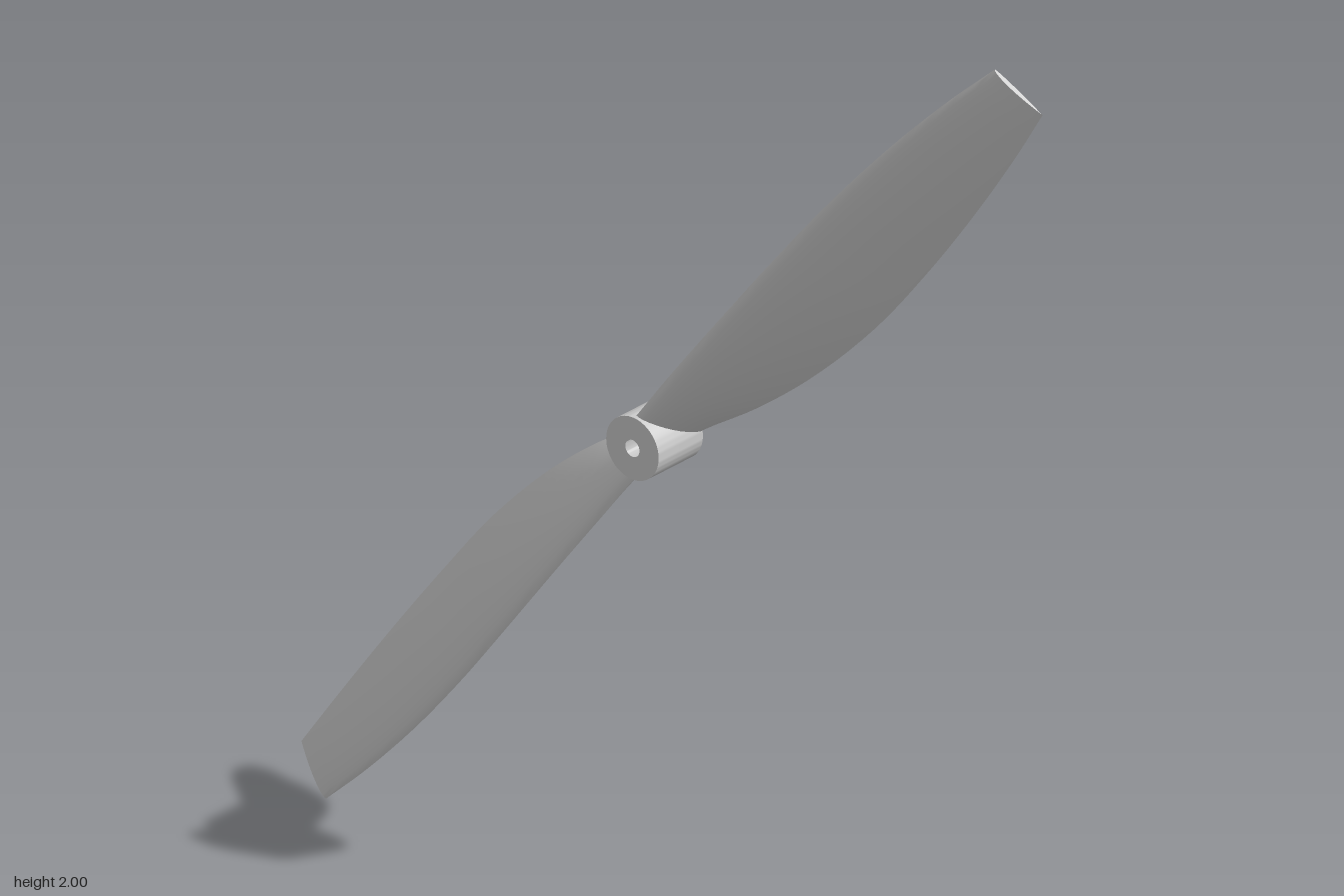
import * as THREE from 'three';
import { toCreasedNormals } from 'three/addons/utils/BufferGeometryUtils.js';

const V = (x, y, z) => new THREE.Vector3(x, y, z);
const STATIONS = 36, HALF = 12;

// Blade runs along local x; each row: radius, lead y, lead z, trail y, trail z, thickness
const rows = [
  [0.03, 0.040, 0.058, -0.035, -0.045, 0.030],
  [0.08, 0.043, 0.062, -0.047, -0.048, 0.028],
  [0.20, 0.052, 0.063, -0.080, -0.056, 0.026],
  [0.36, 0.062, 0.060, -0.108, -0.066, 0.025],
  [0.56, 0.074, 0.051, -0.121, -0.074, 0.024],
  [0.76, 0.083, 0.036, -0.113, -0.076, 0.022],
  [0.96, 0.083, 0.018, -0.097, -0.068, 0.019],
  [1.14, 0.073, 0.003, -0.077, -0.055, 0.015],
  [1.28, 0.058, -0.008, -0.058, -0.040, 0.010],
];

function bladeGeometry() {
  const lead = new THREE.CatmullRomCurve3(rows.map(r => V(r[0], r[1], r[2])));
  const trail = new THREE.CatmullRomCurve3(rows.map(r => V(r[0], r[3], r[4])));
  const thick = new THREE.CatmullRomCurve3(rows.map(r => V(r[0], r[5], 0)));
  const n = HALF * 2;
  const pos = [], idx = [];
  // airfoil loop: rounded leading edge, convex front, nearly flat back
  const section = t => {
    const a = lead.getPoint(t), b = trail.getPoint(t), h = thick.getPoint(t).y;
    const d = b.clone().sub(a);
    const normal = V(0, d.z, -d.y).normalize();
    return Array.from({ length: n }, (_, j) => {
      const s = (1 - Math.cos(j / n * Math.PI * 2)) / 2;
      const shape = 2.6 * Math.sqrt(s) * (1 - s);
      const side = j <= HALF ? 0.75 : -0.25;
      return a.clone().addScaledVector(d, s).addScaledVector(normal, side * h * shape);
    });
  };
  for (let i = 0; i <= STATIONS; i++) {
    for (const p of section(i / STATIONS)) pos.push(p.x, p.y, p.z);
    if (i === STATIONS) break;
    for (let j = 0; j < n; j++) {
      const a = i * n + j, b = i * n + (j + 1) % n;
      idx.push(a, b, a + n, b, b + n, a + n);
    }
  }
  // root and tip caps
  const end = STATIONS * n;
  for (let j = 1; j < n - 1; j++) {
    idx.push(0, j + 1, j);
    idx.push(end, end + j, end + j + 1);
  }
  const g = new THREE.BufferGeometry();
  g.setAttribute('position', new THREE.Float32BufferAttribute(pos, 3));
  g.setIndex(idx);
  // keep the winding outward
  const q = i => V().fromArray(pos, i * 3);
  let volume = 0;
  for (let k = 0; k < idx.length; k += 3) {
    volume += q(idx[k]).dot(q(idx[k + 1]).cross(q(idx[k + 2])));
  }
  if (volume < 0) g.setIndex(idx.reverse());
  return toCreasedNormals(g, 0.7);
}

function hubGeometry() {
  const ring = new THREE.Shape().absarc(0, 0, 0.063, 0, Math.PI * 2);
  ring.holes.push(new THREE.Path().absarc(0, 0, 0.017, 0, Math.PI * 2, true));
  const g = new THREE.ExtrudeGeometry(ring, { depth: 0.123, bevelEnabled: false, curveSegments: 32 });
  g.translate(0, 0, -0.053);
  return toCreasedNormals(g, 0.7);
}

export function createModel() {
  const model = new THREE.Group();
  model.name = 'propeller';
  const material = new THREE.MeshStandardMaterial({ color: 0xcccccc });

  const hub = new THREE.Mesh(hubGeometry(), material);
  hub.name = 'hub';
  model.add(hub);

  // two twisted blades, half a turn apart
  const geometry = bladeGeometry();
  ['upperBlade', 'lowerBlade'].forEach((name, i) => {
    const blade = new THREE.Mesh(geometry, material);
    blade.name = name;
    blade.rotation.z = THREE.MathUtils.degToRad(48.6) + i * Math.PI;
    model.add(blade);
  });

  model.position.y = 1;
  const root = new THREE.Group();
  root.name = 'model';
  root.add(model);
  return root;
}
